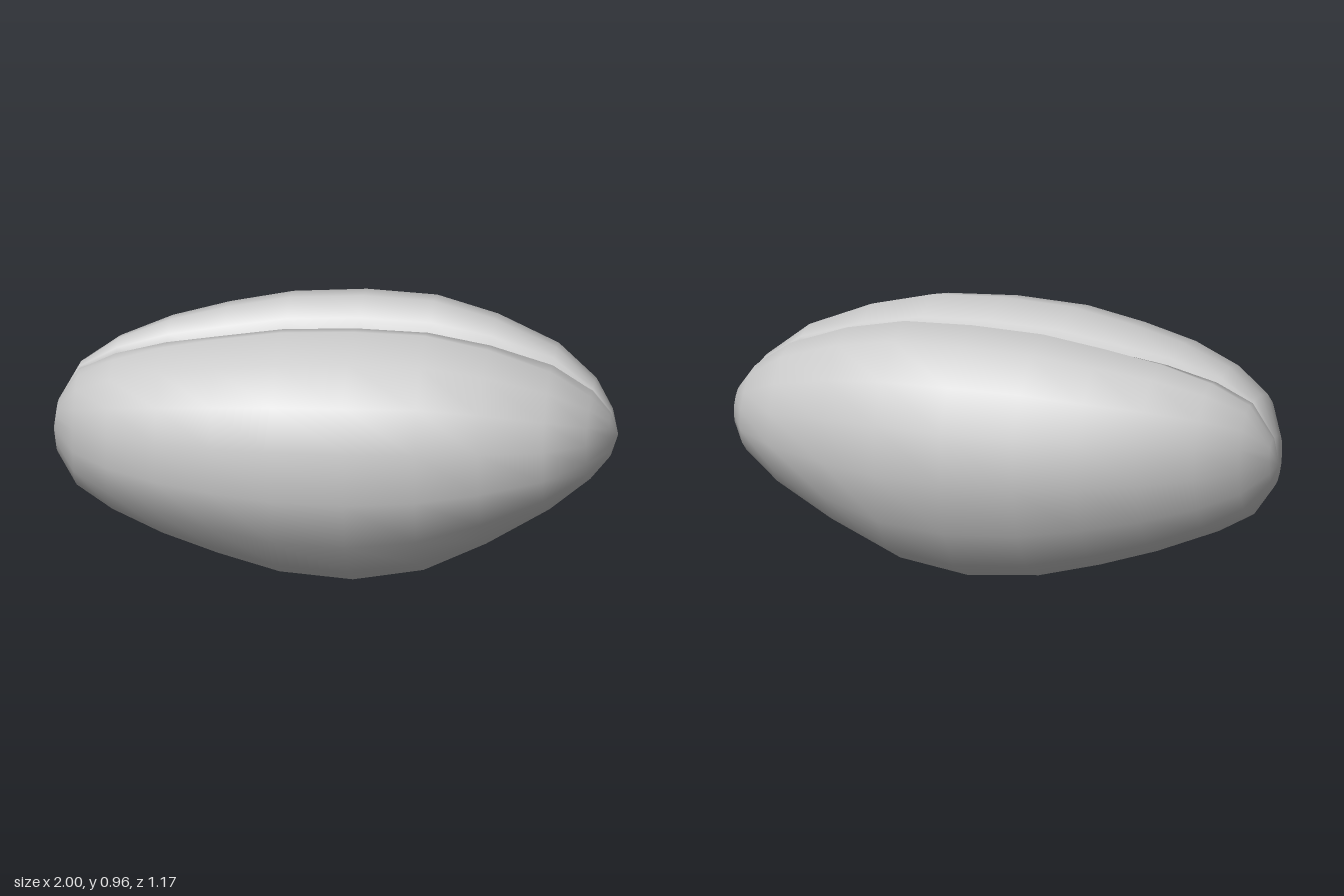
import * as THREE from 'three';

// Widest height and middle depth of every cross-section
const MID_Y = 0.53, MID_Z = -0.02;

// Mid cross-section (z, y), starting beside the groove and running round the back
const SECTION = [
  [-0.08, 0.915], [-0.19, 0.96], [-0.35, 0.93], [-0.49, 0.82], [-0.58, 0.68],
  [-0.588, 0.49], [-0.535, 0.29], [-0.42, 0.14], [-0.245, 0.05], [-0.03, 0.003],
  [0.2, 0.035], [0.38, 0.125], [0.52, 0.26], [0.58, 0.44], [0.58, 0.63],
  [0.515, 0.78], [0.37, 0.895], [0.175, 0.95], [0.02, 0.91], [-0.05, 0.81],
];

// Stations along the length: x, top, bottom, front, back, groove strength
const STATIONS = [
  [-0.985, 0.59, 0.41, 0.07, -0.09, 0],
  [-0.91, 0.72, 0.30, 0.235, -0.21, 0.15],
  [-0.78, 0.80, 0.225, 0.36, -0.33, 0.5],
  [-0.6, 0.865, 0.15, 0.46, -0.435, 0.8],
  [-0.4, 0.91, 0.085, 0.525, -0.515, 1],
  [-0.18, 0.948, 0.025, 0.572, -0.563, 1],
  [0.08, 0.96, 0.003, 0.58, -0.588, 1],
  [0.33, 0.95, 0.045, 0.55, -0.565, 1],
  [0.55, 0.898, 0.15, 0.495, -0.49, 0.9],
  [0.77, 0.81, 0.28, 0.395, -0.39, 0.6],
  [0.91, 0.70, 0.385, 0.235, -0.27, 0.2],
  [0.975, 0.61, 0.455, 0.07, -0.13, 0],
];

// Fit the mid section to one station, flattening the groove where it fades
function ring([x, top, bottom, front, back, groove]) {
  return SECTION.map(([z, y], i) => {
    const inGroove = i === 0 || i >= SECTION.length - 2;
    const h = inGroove ? THREE.MathUtils.lerp(0.96, y, groove) : y;
    const v = h > MID_Y
      ? MID_Y + (h - MID_Y) * (top - MID_Y) / (0.96 - MID_Y)
      : MID_Y + (h - MID_Y) * (MID_Y - bottom) / (MID_Y - 0.003);
    const w = z > MID_Z
      ? MID_Z + (z - MID_Z) * (front - MID_Z) / (0.58 - MID_Z)
      : MID_Z + (z - MID_Z) * (back - MID_Z) / (-0.588 - MID_Z);
    return [x, v, w];
  });
}

function seedGeometry() {
  const n = SECTION.length, rows = STATIONS.length;
  const points = STATIONS.flatMap(ring);
  const poleA = points.push([-1, 0.49, MID_Z]) - 1;
  const poleB = points.push([1, 0.53, MID_Z]) - 1;
  const index = [];
  for (let j = 0; j < n; j++) {
    const k = (j + 1) % n;
    for (let i = 0; i < rows - 1; i++) {
      const a = i * n + j, b = i * n + k, c = a + n, d = b + n;
      index.push(a, c, b, b, c, d);
    }
    // Rounded ends
    const last = (rows - 1) * n;
    index.push(poleA, j, k, poleB, last + k, last + j);
  }
  const geometry = new THREE.BufferGeometry();
  geometry.setAttribute('position', new THREE.Float32BufferAttribute(points.flat(), 3));
  geometry.setIndex(index);
  geometry.computeVertexNormals();
  return geometry;
}

export function createModel() {
  const group = new THREE.Group();
  group.name = 'groovedSeed';
  const grey = new THREE.MeshStandardMaterial({ color: 0xcccccc });
  grey.name = 'light grey';
  const seed = new THREE.Mesh(seedGeometry(), grey);
  seed.name = 'seedBody';
  group.add(seed);
  return group;
}
